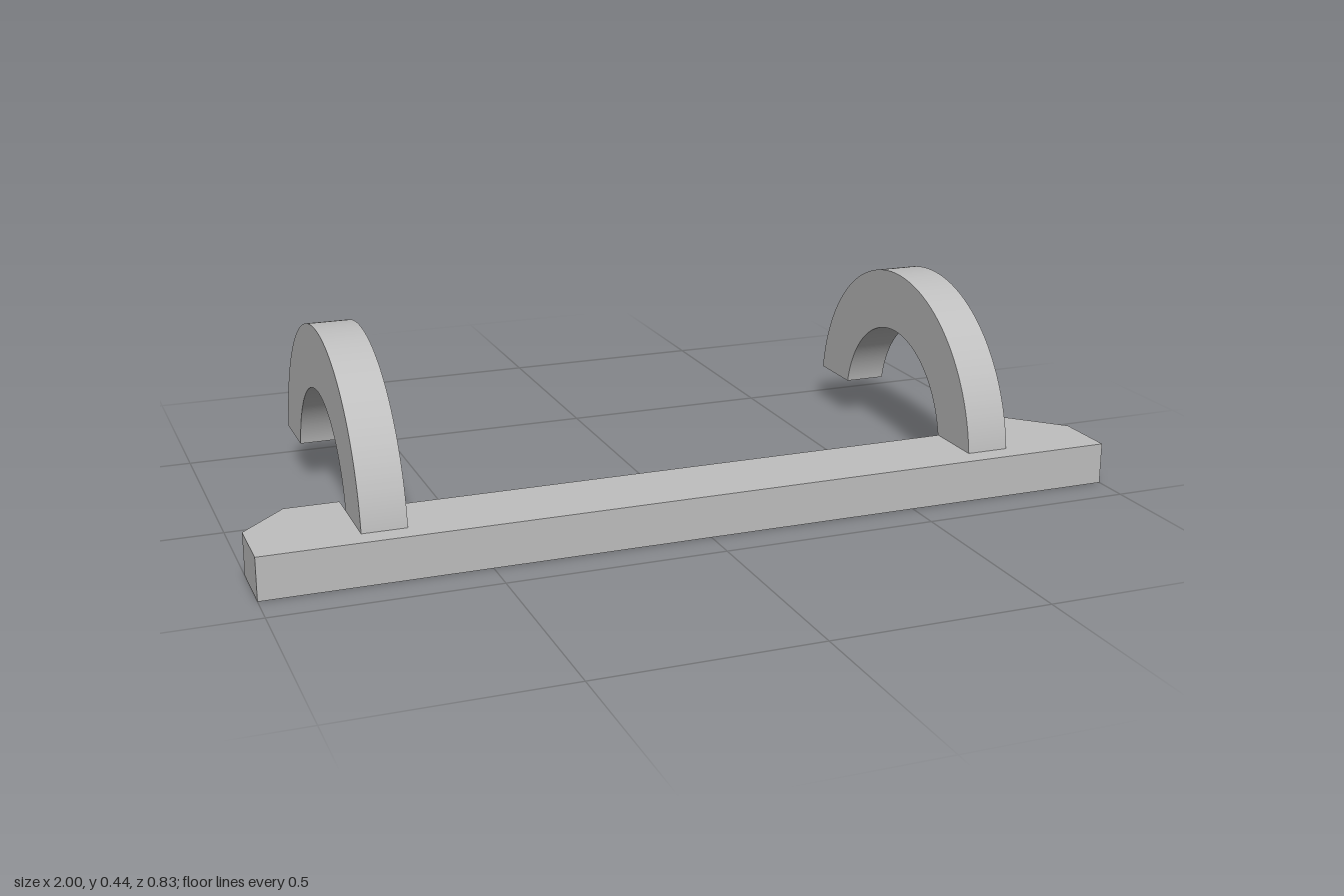
import * as THREE from 'three';

const BASE_H = 0.097;

export function createModel() {
  const group = new THREE.Group();
  const grey = new THREE.MeshStandardMaterial({ color: 0xbfbfbf });
  grey.name = 'grey';

  // Base bar: outline in plan (x, z), with a chamfered tab behind each end
  const half = [[1, 0.413], [1, 0.265], [0.893, 0.155], [0.77, 0.155], [0.77, 0.217]];
  const mirrored = half.map(([x, z]) => [-x, z]).reverse();
  const outline = new THREE.Shape([...half, ...mirrored].map(([x, z]) => new THREE.Vector2(x, z)));
  const baseGeo = new THREE.ExtrudeGeometry(outline, { depth: BASE_H, bevelEnabled: false });
  baseGeo.rotateX(Math.PI / 2).translate(0, BASE_H, 0);
  const base = new THREE.Mesh(baseGeo, grey);
  base.name = 'baseBar';
  group.add(base);

  // Arched hooks: ring section in (z, y), cut level with the top of the bar
  const cz = -0.025, cy = 0.05, outer = 0.39, inner = 0.245, width = 0.1;
  const a = Math.asin((BASE_H - cy) / outer);
  const b = Math.asin((BASE_H - cy) / inner);
  const arch = new THREE.Shape();
  arch.absarc(cz, cy, outer, a, Math.PI - a, false);
  arch.absarc(cz, cy, inner, Math.PI - b, b, true);
  arch.closePath();
  const hookGeo = new THREE.ExtrudeGeometry(arch, { depth: width, bevelEnabled: false, curveSegments: 72 });
  hookGeo.translate(0, 0, -width / 2).rotateY(-Math.PI / 2);
  for (const [name, x] of [['leftHook', 0.72], ['rightHook', -0.72]]) {
    const hook = new THREE.Mesh(hookGeo, grey);
    hook.name = name;
    hook.position.x = x;
    group.add(hook);
  }
  return group;
}
